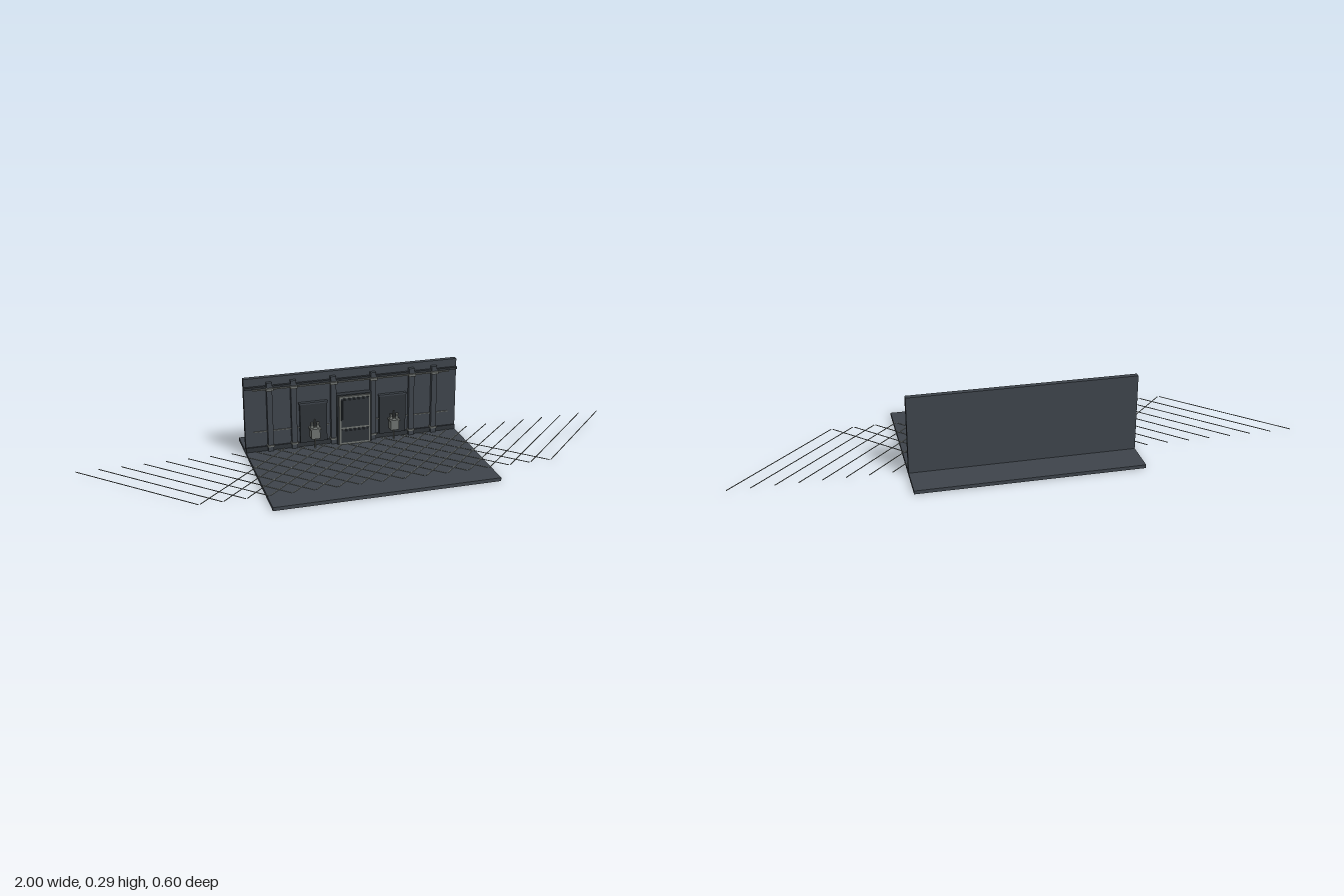
import * as THREE from 'three';

const mat = (name, color) => {
  const m = new THREE.MeshStandardMaterial({ color });
  m.name = name;
  return m;
};

export function createModel() {
  const slate = mat('slate', 0x3d434a);
  const dark = mat('dark slate', 0x2d3237);
  const metal = mat('dull metal', 0x6c706d);
  const root = new THREE.Group();
  root.name = 'wallSection';

  // Box given by its limits on each axis
  const box = (name, m, x0, x1, y0, y1, z0, z1, parent = root) => {
    const mesh = new THREE.Mesh(new THREE.BoxGeometry(x1 - x0, y1 - y0, z1 - z0), m);
    mesh.position.set((x0 + x1) / 2, (y0 + y1) / 2, (z0 + z1) / 2);
    mesh.name = name;
    parent.add(mesh);
    return mesh;
  };
  // Upright round part between two heights
  const round = (name, m, r0, r1, x, y0, y1, z, parent = root) => {
    const mesh = new THREE.Mesh(new THREE.CylinderGeometry(r1, r0, y1 - y0, 16), m);
    mesh.position.set(x, (y0 + y1) / 2, z);
    mesh.name = name;
    parent.add(mesh);
    return mesh;
  };

  const F = 0.0125; // floor level
  box('floor', slate, -0.4, 0.4, 0, F, -0.3, 0.3);
  box('wall', slate, -0.4, 0.4, F, 0.292, -0.177, -0.158);

  // Diagonal floor strips in two crossing directions
  const strips = new THREE.Group();
  strips.name = 'floorStrips';
  root.add(strips);
  for (const s of [-1, 1]) {
    for (let i = 0; i < 17; i++) {
      const strip = box('floorStrip', metal, -0.262, 0.262, F - 0.0005, F + 0.0015, -0.0013, 0.0013, strips);
      strip.position.x = s * (-0.814 + i * 0.0782);
      strip.position.z = 0.025;
      strip.rotation.y = -s * Math.PI / 4;
      if (s < 0) strip.position.y += 0.0003;
    }
  }

  // Wall trims
  box('cornice', dark, -0.4, 0.4, 0.254, 0.262, -0.158, -0.147);
  box('corniceStrip', metal, -0.37, 0.37, 0.247, 0.251, -0.158, -0.149);
  box('skirting', dark, -0.4, 0.4, F, 0.03, -0.158, -0.152);
  for (const s of [-1, 1]) {
    const a = s > 0 ? 0.09 : -0.37, b = s > 0 ? 0.37 : -0.09;
    box('chairRail', metal, a, b, 0.086, 0.089, -0.158, -0.154);
  }

  // Pilasters with metal bands near the top and foot
  for (const s of [-1, 1]) {
    for (const px of [0.075, 0.222, 0.31]) {
      const x = s * px, g = new THREE.Group();
      g.name = 'pilaster';
      root.add(g);
      box('shaft', slate, x - 0.01, x + 0.01, F, 0.275, -0.158, -0.143, g);
      box('topBand', metal, x - 0.013, x + 0.013, 0.247, 0.256, -0.158, -0.135, g);
      box('footBand', metal, x - 0.013, x + 0.013, 0.03, 0.036, -0.158, -0.139, g);
    }
  }

  // Door: frame, metal leaf and two raised dark panels
  const door = new THREE.Group();
  door.name = 'door';
  root.add(door);
  box('doorFrame', dark, -0.065, 0.065, F, 0.2045, -0.158, -0.133, door);
  box('doorLeaf', metal, -0.059, 0.059, F, 0.2, -0.135, -0.126, door);
  for (const [y0, y1] of [[0.021, 0.073], [0.081, 0.193]]) {
    box('doorPanel', dark, -0.052, 0.052, y0, y1, -0.127, -0.1235, door);
    box('raisedField', dark, -0.047, 0.047, y0 + 0.005, y1 - 0.005, -0.125, -0.121, door);
  }

  // Wash basins in front of dark panels
  for (const s of [-1, 1]) {
    const x = s * 0.15, g = new THREE.Group();
    g.name = 'washStand';
    root.add(g);
    box('backPanel', dark, x - 0.05, x + 0.05, 0.03, 0.18, -0.158, -0.146, g);
    box('panelTop', slate, x - 0.053, x + 0.053, 0.178, 0.184, -0.158, -0.144, g);
    box('basin', metal, x - 0.016, x + 0.016, 0.052, 0.087, -0.146, -0.115, g);
    box('basinRim', metal, x - 0.02, x + 0.02, 0.087, 0.092, -0.146, -0.111, g);
    round('drainPipe', metal, 0.003, 0.003, x, F, 0.052, -0.129, g);
    for (const t of [-1, 1]) {
      round('tapBase', metal, 0.006, 0.004, x + t * 0.011, 0.092, 0.103, -0.128, g);
      round('tapHead', metal, 0.004, 0.006, x + t * 0.011, 0.103, 0.112, -0.128, g);
    }
    round('spout', metal, 0.0025, 0.0025, x, 0.092, 0.123, -0.13, g);
  }
  return root;
}
